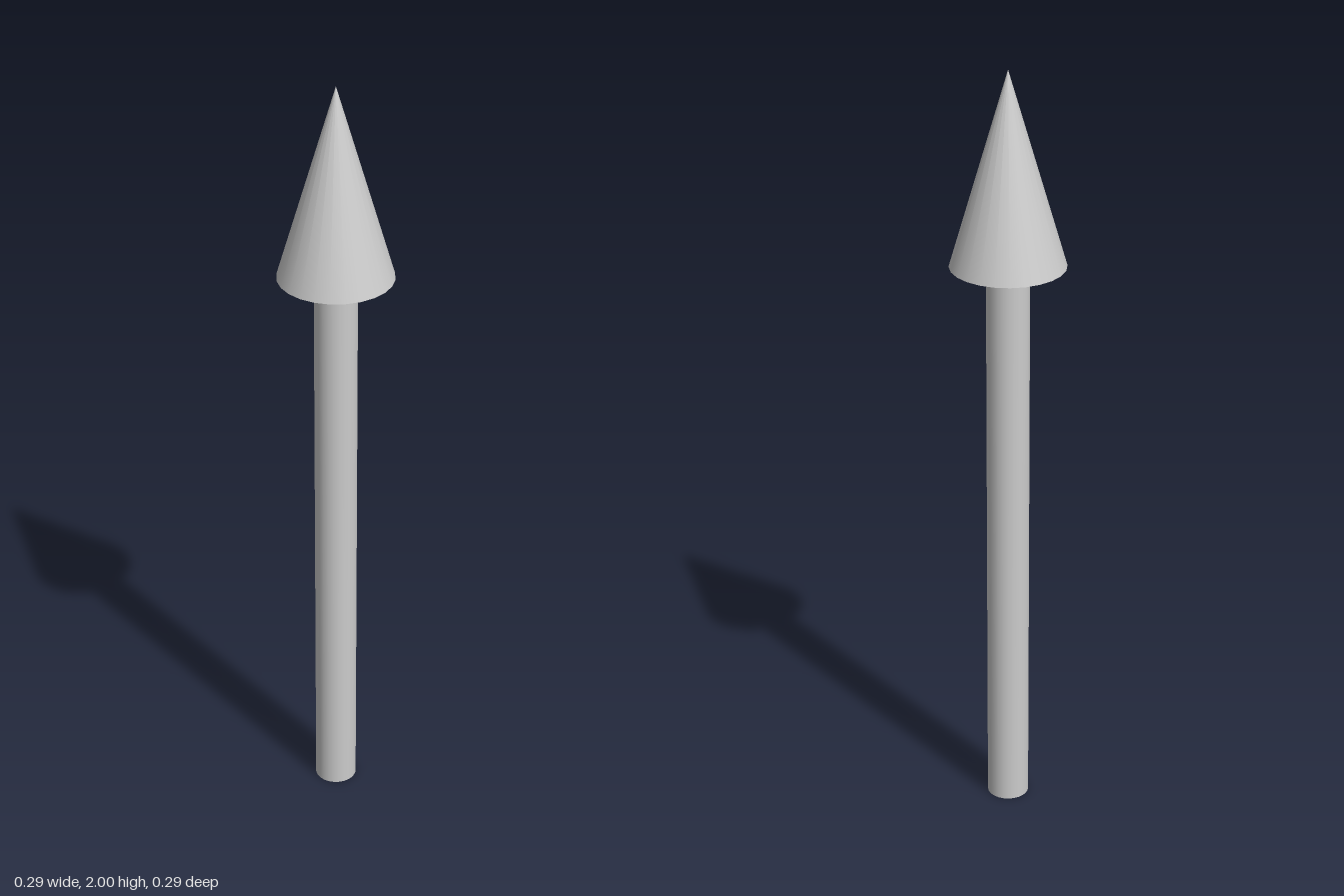
import * as THREE from 'three';

const SIDES = 24;
const HEIGHT = 2;
const HEAD_BASE = 1.505;

export function createModel() {
  const arrow = new THREE.Group();
  arrow.name = 'arrow';
  const material = new THREE.MeshStandardMaterial({ color: 0xcccccc });

  // Each part stands with its base at the given height
  const addPart = (name, geometry, height, base) => {
    const mesh = new THREE.Mesh(geometry, material);
    mesh.name = name;
    mesh.position.y = base + height / 2;
    arrow.add(mesh);
  };

  // Straight round shaft, capped at the foot
  addPart('shaft', new THREE.CylinderGeometry(0.054, 0.054, HEAD_BASE, SIDES), HEAD_BASE, 0);

  // Pointed head with a flat underside
  const headHeight = HEIGHT - HEAD_BASE;
  addPart('head', new THREE.ConeGeometry(0.145, headHeight, SIDES), headHeight, HEAD_BASE);

  return arrow;
}
